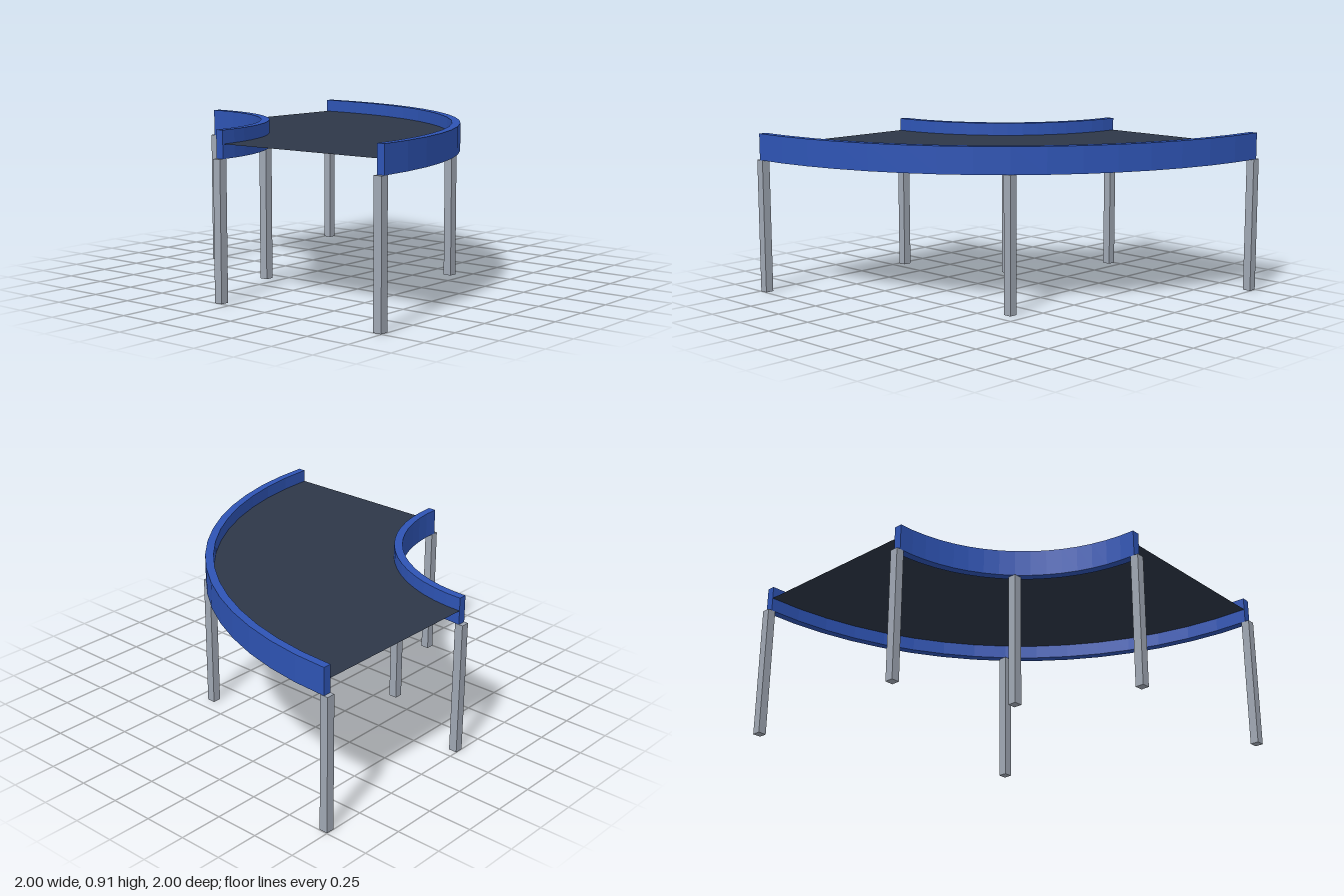
import * as THREE from 'three';

const CENTER = 0.975; // bend pivot sits at x = -CENTER, z = +CENTER
const RAIL_Y = 0.757, RAIL_H = 0.15, RAIL_W = 0.046, BELT_Y = 0.835, LEG_W = 0.048;
const R_OUTER = 1.948, R_INNER = 0.897;

function material(name, color, options = {}) {
  const m = new THREE.MeshStandardMaterial({ color, ...options });
  m.name = name;
  return m;
}

// quarter-ring outline, laid flat by the caller
function quarterRing(r0, r1) {
  const s = new THREE.Shape();
  s.absarc(0, 0, r1, 0, Math.PI / 2, false);
  s.absarc(0, 0, r0, Math.PI / 2, 0, true);
  s.closePath();
  return s;
}

export function createModel() {
  const group = new THREE.Group();
  group.name = 'curvedConveyor';
  const blue = material('railBlue', 0x2e54b4);
  const grey = material('legGrey', 0xa0a8b4);
  const dark = material('beltDark', 0x2d3748, { side: THREE.DoubleSide });

  const add = (name, geometry, mat, x, y, z) => {
    const mesh = new THREE.Mesh(geometry, mat);
    mesh.name = name;
    mesh.position.set(x, y, z);
    group.add(mesh);
  };

  // belt surface between the rails
  const belt = new THREE.RingGeometry(R_INNER, R_OUTER, 16, 1, 0, Math.PI / 2);
  belt.rotateX(-Math.PI / 2);
  add('belt', belt, dark, -CENTER, BELT_Y, CENTER);

  for (const [side, r] of [['outer', R_OUTER], ['inner', R_INNER]]) {
    // faceted side rail, sixteen steps along the bend
    const rail = new THREE.ExtrudeGeometry(quarterRing(r - RAIL_W / 2, r + RAIL_W / 2), {
      depth: RAIL_H, bevelEnabled: false, curveSegments: 8,
    });
    rail.rotateX(-Math.PI / 2);
    add(side + 'Rail', rail, blue, -CENTER, RAIL_Y, CENTER);

    // square legs at both ends and the middle of the rail
    for (let i = 0; i < 3; i++) {
      const a = (i * Math.PI) / 4;
      add(side + 'Leg' + (i + 1), new THREE.BoxGeometry(LEG_W, RAIL_Y, LEG_W), grey,
        -CENTER + r * Math.cos(a), RAIL_Y / 2, CENTER - r * Math.sin(a));
    }
  }
  return group;
}
